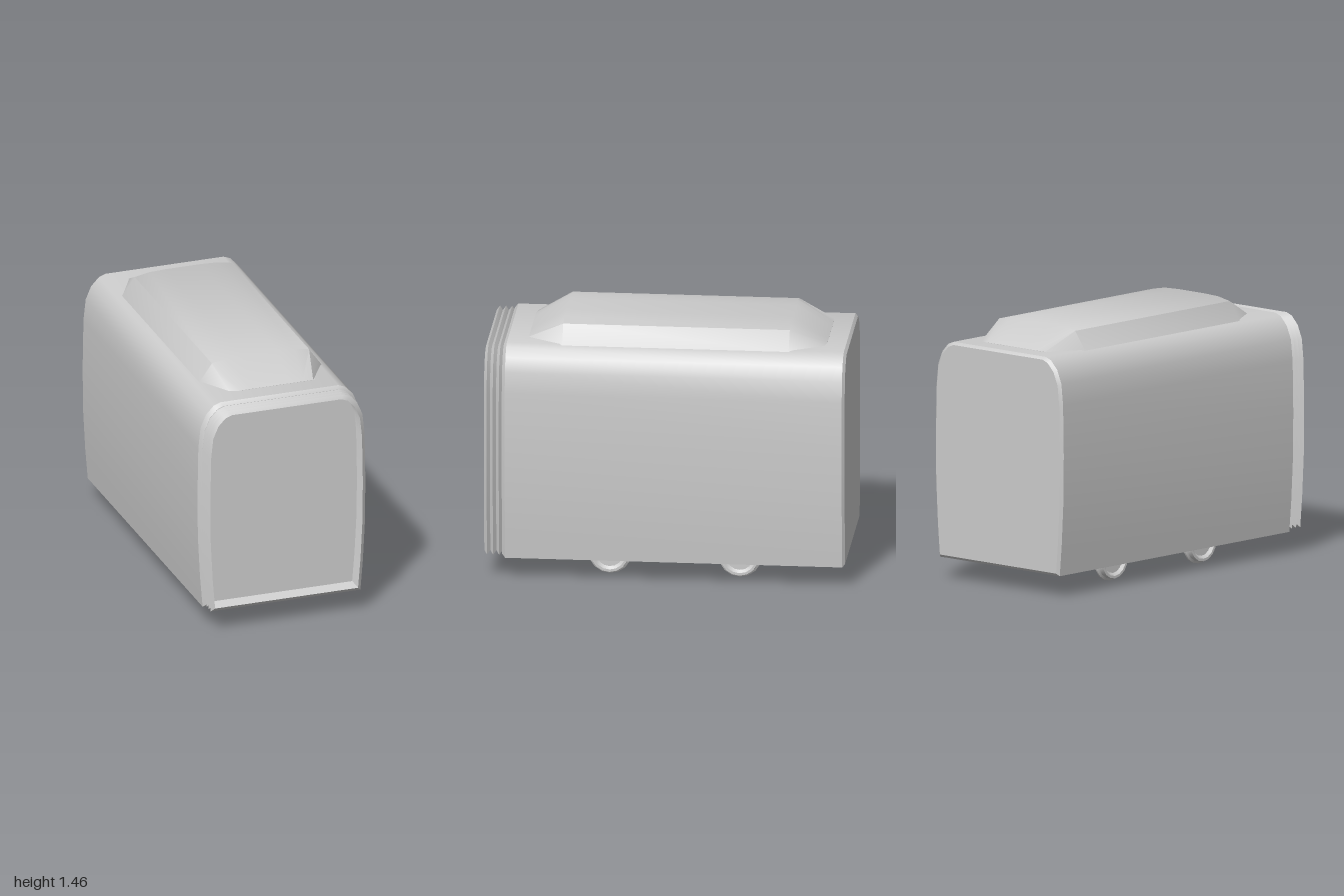
import * as THREE from 'three';
import { toCreasedNormals } from 'three/addons/utils/BufferGeometryUtils.js';

// Skin a list of equal-length [x, y, z] rings (counter-clockwise seen from +z, z rising)
function loft(rings, capped, crease) {
  const n = rings[0].length;
  const index = [];
  for (let k = 0; k < rings.length - 1; k++) {
    for (let i = 0; i < n; i++) {
      const j = (i + 1) % n;
      const a = k * n + i, b = k * n + j, c = b + n, d = a + n;
      index.push(a, b, c, a, c, d);
    }
  }
  if (capped) {
    const last = (rings.length - 1) * n;
    for (let i = 1; i < n - 1; i++) {
      index.push(0, i + 1, i, last, last + i, last + i + 1);
    }
  }
  const geometry = new THREE.BufferGeometry();
  geometry.setAttribute('position', new THREE.Float32BufferAttribute(rings.flat(2), 3));
  geometry.setIndex(index);
  return toCreasedNormals(geometry, crease);
}

// Carriage cross-section: right half from floor to roof, then mirrored
const half = [[0.45, 0.12], [0.465, 0.3], [0.478, 0.55], [0.48, 0.8], [0.475, 1.08],
  [0.462, 1.2], [0.43, 1.275], [0.385, 1.322], [0.345, 1.337]];
const section = [...half, ...half.slice().reverse().map(([x, y]) => [-x, y])];
const MID = 0.7285, HALF_W = 0.48, HALF_H = 0.6085;

// Cross-section at z, drawn in by a fixed amount on every side
const ring = (z, inset) => section.map(([x, y]) => [
  x * (1 - inset / HALF_W), MID + (y - MID) * (1 - inset / HALF_H), z]);

export function createModel() {
  const model = new THREE.Group();
  const grey = new THREE.MeshStandardMaterial({ color: 0xcccccc });
  grey.name = 'light grey';
  const greySheet = new THREE.MeshStandardMaterial({ color: 0xcccccc, side: THREE.DoubleSide });
  greySheet.name = 'light grey sheet';

  const add = (name, geometry, material = grey, parent = model) => {
    const mesh = new THREE.Mesh(geometry, material);
    mesh.name = name;
    parent.add(mesh);
    return mesh;
  };

  // Carriage shell with softly bevelled ends
  add('body', loft([ring(-1, 0.015), ring(-0.985, 0), ring(0.882, 0), ring(0.9, 0.018)], true, 0.64));

  // Open pleated gangway at the front
  const pleats = [];
  for (let i = 0; i <= 6; i++) pleats.push(ring(0.899 + i * 0.101 / 6, i % 2 ? 0.012 : 0.033));
  add('bellows', loft(pleats, false, 0.64), greySheet);

  // Roof fairing: domed section running down to flat, skewed ends
  const dome = [[0.36, 1.33], [0.285, 1.435], [0.2, 1.451], [0.1, 1.455],
    [-0.1, 1.455], [-0.2, 1.451], [-0.285, 1.435], [-0.36, 1.33]];
  const full = (z) => dome.map(([x, y]) => [x, y, z]);
  const flat = (z, left, right) => dome.map(([x], i) => [
    THREE.MathUtils.mapLinear(x, -0.36, 0.36, left, right), i === 0 || i === 7 ? 1.33 : 1.338, z]);
  add('roofFairing', loft([flat(-0.88, -0.3, 0.245), full(-0.68), full(0.575), flat(0.77, -0.245, 0.295)], true, 0.75));

  // Wheelsets: flanged wheels on a thin axle, half hidden in the floor
  const wheelProfile = [[0, 0.285], [0.085, 0.285], [0.105, 0.275], [0.12, 0.285], [0.12, 0.295],
    [0.108, 0.303], [0.104, 0.33], [0.09, 0.33], [0.075, 0.315], [0, 0.315]]
    .map(([r, x]) => new THREE.Vector2(r, x - 0.3));
  const wheelGeometry = toCreasedNormals(new THREE.LatheGeometry(wheelProfile, 16), 0.6);
  const axleGeometry = new THREE.CylinderGeometry(0.012, 0.012, 0.72, 8);
  for (const z of [0.315, -0.405]) {
    const wheelset = new THREE.Group();
    wheelset.name = 'wheelset';
    wheelset.position.set(0, 0.12, z);
    add('axle', axleGeometry, grey, wheelset).rotation.z = Math.PI / 2;
    for (const side of [-1, 1]) {
      const wheel = add('wheel', wheelGeometry, grey, wheelset);
      wheel.position.x = side * 0.3;
      wheel.rotation.z = -side * Math.PI / 2;
    }
    model.add(wheelset);
  }
  return model;
}
